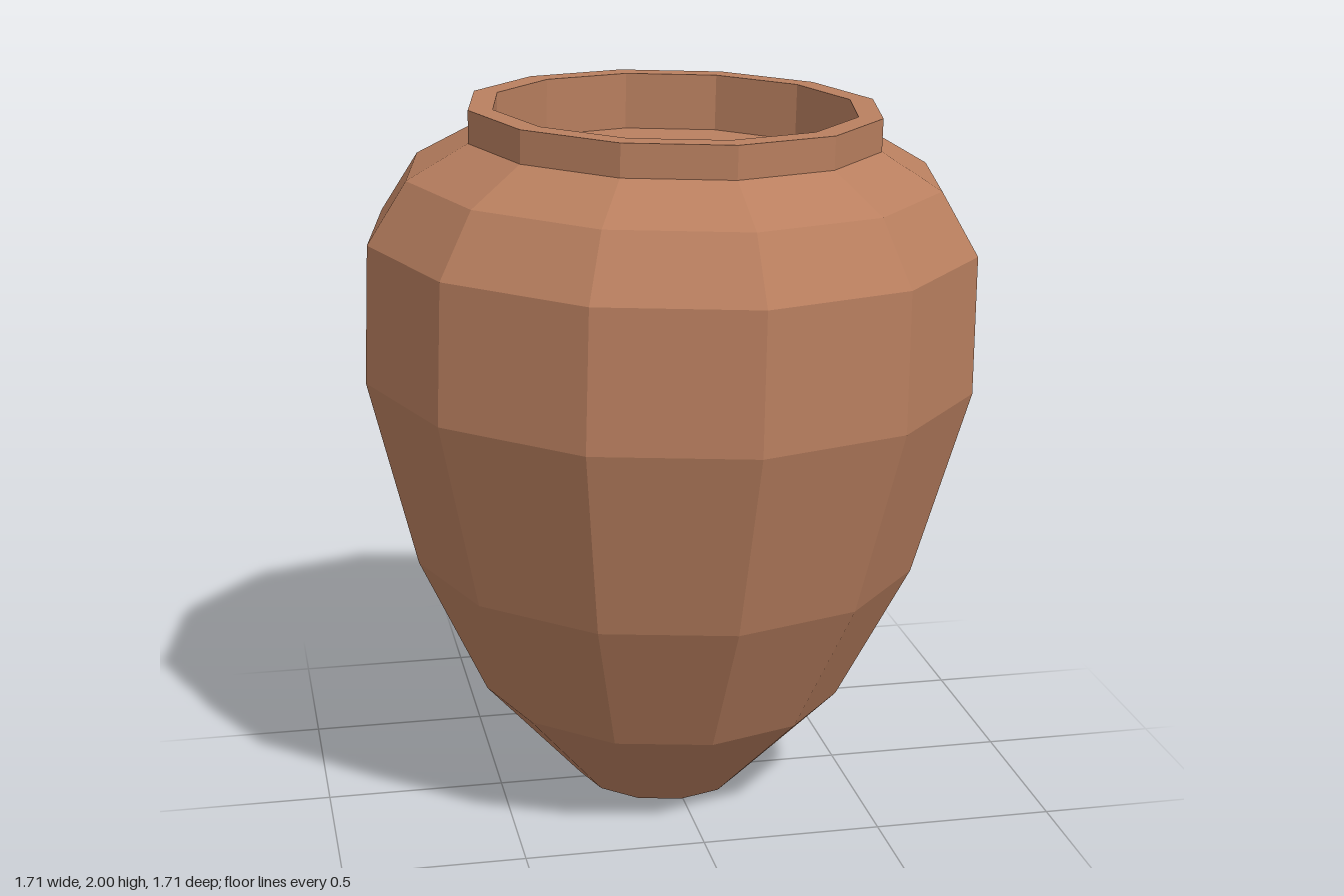
import * as THREE from 'three';

const SIDES = 12;
const TURN = 0.082; // rotation of the facets about the jar's axis

export function createModel() {
  const jar = new THREE.Group();
  jar.name = 'jar';
  const clay = new THREE.MeshStandardMaterial({ color: 0xb97f5f, flatShading: true });

  // Faceted ring surface from [radius, height] pairs
  function turned(name, profile) {
    const points = profile.map(([r, y]) => new THREE.Vector2(r, y));
    const mesh = new THREE.Mesh(new THREE.LatheGeometry(points, SIDES, TURN), clay);
    mesh.name = name;
    jar.add(mesh);
  }

  // Closed foot, tapering belly and rounded shoulder
  turned('body', [
    [0, 0], [0.24, 0], [0.52, 0.296], [0.717, 0.698], [0.86, 1.233],
    [0.852, 1.618], [0.745, 1.79], [0.576, 1.886],
  ]);

  // Upright collar: outer wall, flat lip, inner wall
  turned('rim', [[0.576, 1.886], [0.576, 1.976], [0.508, 1.976], [0.508, 1.815]]);

  // Shallow floor inside the mouth
  turned('innerFloor', [[0.508, 1.815], [0, 1.815]]);

  // The jar leans slightly
  jar.rotation.set(0.021, 0, -0.02);
  jar.position.set(-0.025, 0.007, -0.027);

  const model = new THREE.Group();
  model.name = 'leaningJar';
  model.add(jar);
  return model;
}
